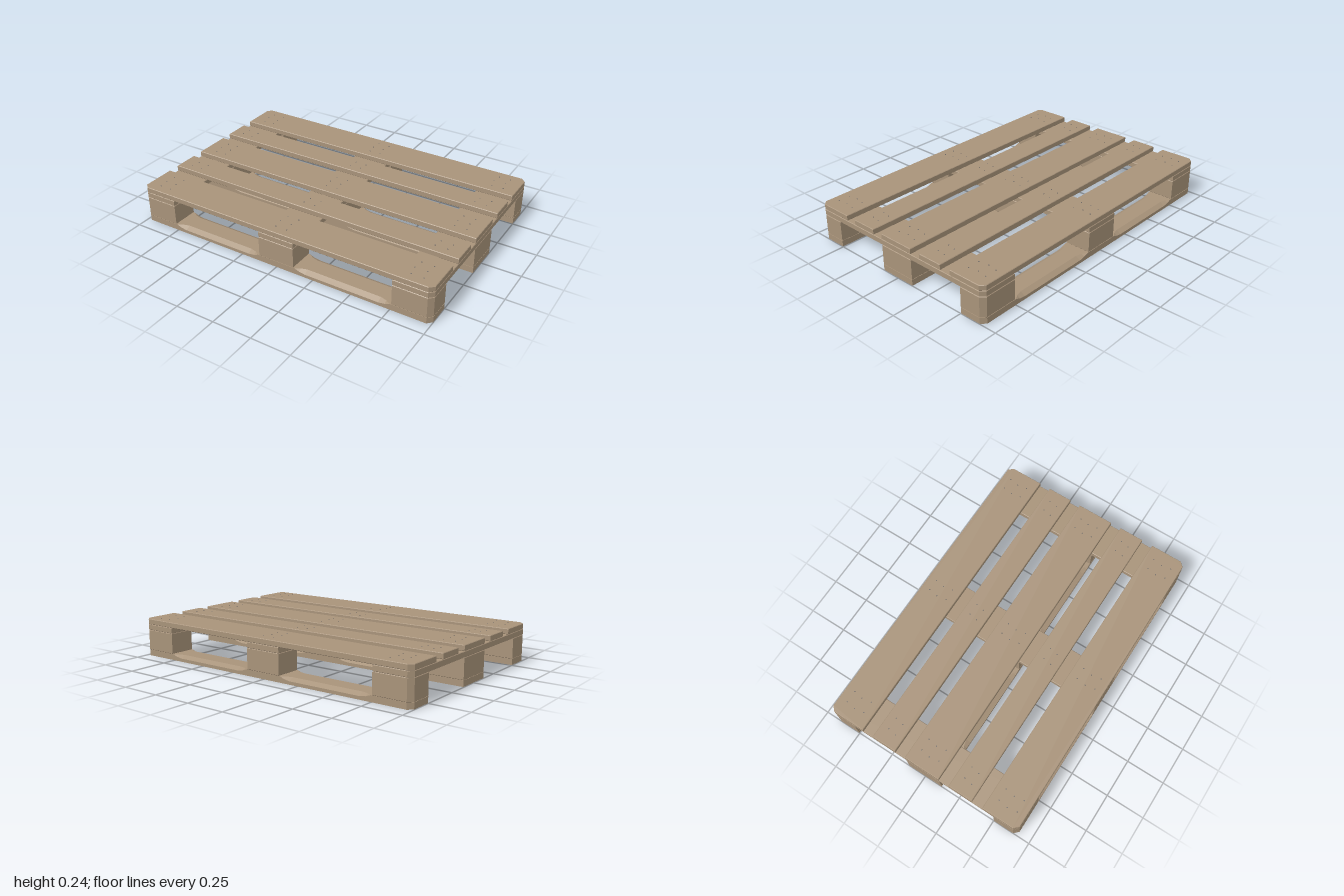
import * as THREE from 'three';

const X = 1, Z = 0.667, CUT = 0.028, BEVEL = 0.003;
const wood = new THREE.MeshStandardMaterial({ color: 0xa8937a });
wood.name = 'wood';
const steel = new THREE.MeshStandardMaterial({ color: 0x77706a });
steel.name = 'nail steel';

// Sawn timber slab with softened edges; corners on the pallet's own corners are cut off
function slab(name, x0, x1, z0, z1, y0, y1) {
  const pts = [];
  for (const [x, z, alongX] of [[x0, z1, 0], [x1, z1, 1], [x1, z0, 0], [x0, z0, 1]]) {
    if (Math.abs(x) === X && Math.abs(z) === Z) {
      const a = new THREE.Vector2(x - Math.sign(x) * CUT, -z);
      const b = new THREE.Vector2(x, -z + Math.sign(z) * CUT);
      pts.push(...(alongX ? [a, b] : [b, a]));
    } else pts.push(new THREE.Vector2(x, -z));
  }
  const geo = new THREE.ExtrudeGeometry(new THREE.Shape(pts), {
    depth: y1 - y0 - 2 * BEVEL, bevelEnabled: true, bevelSegments: 1,
    bevelSize: BEVEL, bevelThickness: BEVEL, bevelOffset: -BEVEL,
  });
  geo.rotateX(-Math.PI / 2).translate(0, y0 + BEVEL, 0);
  const mesh = new THREE.Mesh(geo, wood);
  mesh.name = name;
  return mesh;
}

// Bottom board: lofted along x, its upper edges planed down between the blocks
function bottomBoard(name, z0, z1, y0, y1) {
  const half = [[-X, 0], [-X + CUT, 0], [-0.75, 0], [-0.72, 0.65], [-0.68, 1], [-0.2, 1], [-0.16, 0.65], [-0.13, 0]];
  const stations = [...half, ...half.map(([x, t]) => [-x, t]).reverse()];
  const rings = stations.map(([x, t]) => {
    const end = Math.abs(x) === X ? CUT : 0;
    const a = z0 + (z0 === -Z ? end : 0), b = z1 - (z1 === Z ? end : 0);
    const d = 0.018 * t, w = 0.03 * t;
    return [[a, y0], [a, y1 - d], [a + w, y1], [b - w, y1], [b, y1 - d], [b, y0]].map(([z, y]) => [x, y, z]);
  });
  const pos = [];
  const tri = (...p) => p.forEach((v) => pos.push(...v));
  for (let i = 0; i < rings.length - 1; i++) {
    const r = rings[i], s = rings[i + 1];
    for (let j = 0; j < 6; j++) {
      const k = (j + 1) % 6;
      tri(r[j], r[k], s[k]);
      tri(r[j], s[k], s[j]);
    }
  }
  const first = rings[0], last = rings[rings.length - 1];
  for (let j = 1; j < 5; j++) {
    tri(first[0], first[j + 1], first[j]);
    tri(last[0], last[j], last[j + 1]);
  }
  const geo = new THREE.BufferGeometry();
  geo.setAttribute('position', new THREE.Float32BufferAttribute(pos, 3));
  geo.computeVertexNormals();
  const mesh = new THREE.Mesh(geo, wood);
  mesh.name = name;
  return mesh;
}

const nailGeo = new THREE.CylinderGeometry(0.004, 0.004, 0.004, 8);

// Two staggered columns of nail heads where a board crosses a block row
function nails(group, zMid, rows, step, y) {
  for (const xMid of [-0.875, 0, 0.875]) {
    for (let r = 0; r < rows; r++) {
      for (const side of [-1, 1]) {
        const nail = new THREE.Mesh(nailGeo, steel);
        nail.name = 'nailHead';
        nail.position.set(xMid + side * 0.038 + (r % 2 ? -0.006 : 0.004), y, zMid + (r - (rows - 1) / 2) * step);
        group.add(nail);
      }
    }
  }
}

export function createModel() {
  const pallet = new THREE.Group();
  pallet.name = 'pallet';
  const columns = [[-X, -0.76], [-0.12, 0.12], [0.76, X]];
  const rows = [[-Z, -0.502], [-0.12, 0.12], [0.502, Z]];

  // Deck boards, wide and narrow alternating
  for (const [z0, z1] of [[-Z, -0.427], [-0.354, -0.191], [-0.12, 0.12], [0.191, 0.354], [0.427, Z]]) {
    pallet.add(slab('deckBoard', -X, X, z0, z1, 0.206, 0.241));
    const wide = z1 - z0 > 0.2;
    nails(pallet, (z0 + z1) / 2, wide ? 3 : 2, wide ? 0.062 : 0.055, 0.2405);
  }

  // Cross boards under the deck
  for (const [x0, x1] of columns) pallet.add(slab('crossBoard', x0, x1, -Z, Z, 0.17, 0.206));

  // Nine blocks and the three bottom boards they stand on
  for (const [z0, z1] of rows) {
    for (const [x0, x1] of columns) pallet.add(slab('block', x0, x1, z0, z1, 0.04, 0.17));
    pallet.add(bottomBoard('bottomBoard', z0, z1, 0.002, 0.04));
    const wide = z1 - z0 > 0.2;
    nails(pallet, (z0 + z1) / 2, wide ? 3 : 2, 0.06, 0.002);
  }
  return pallet;
}
